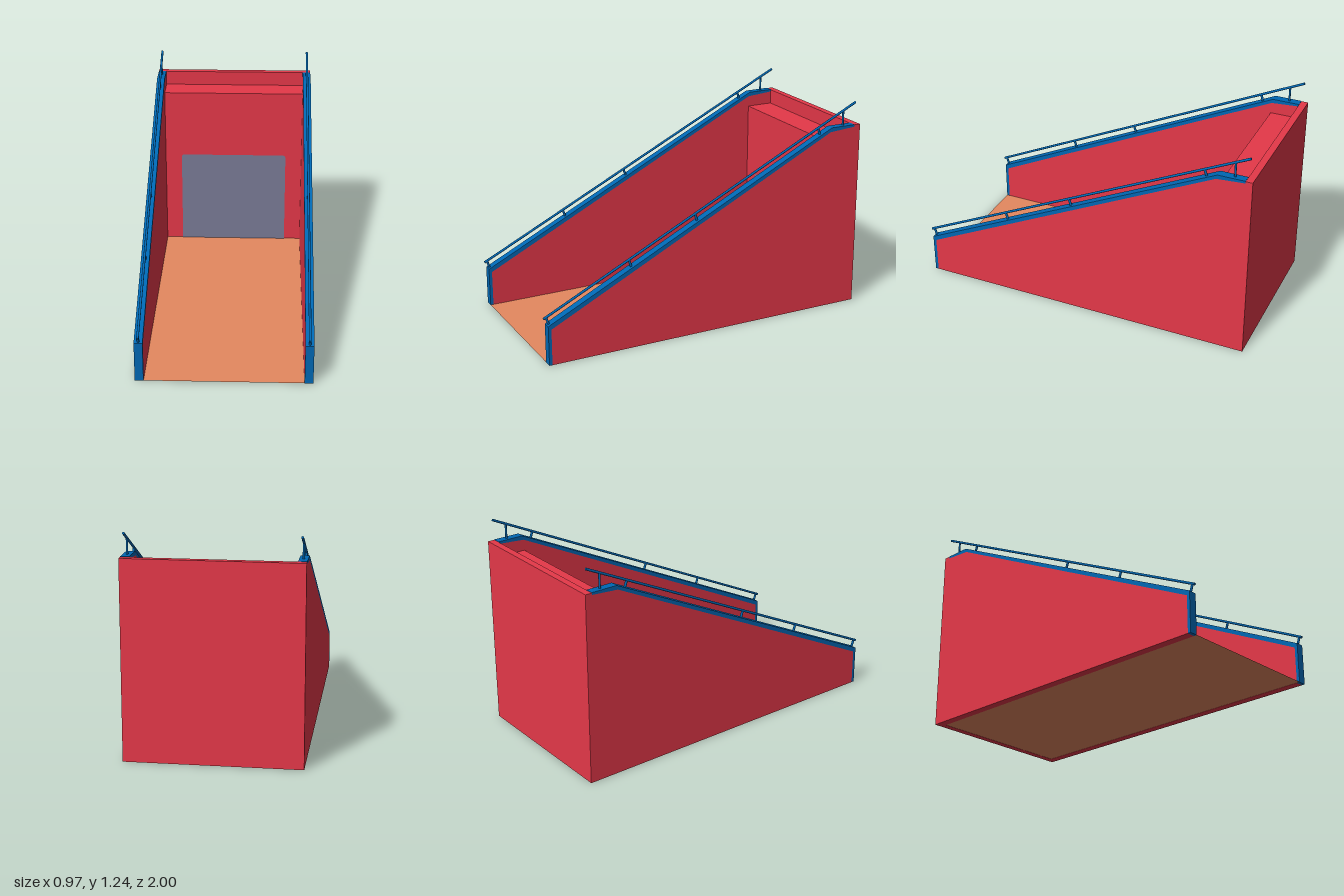
import * as THREE from 'three';

const mat = (name, color, side = THREE.FrontSide) => {
  const m = new THREE.MeshStandardMaterial({ color, side });
  m.name = name;
  return m;
};

export function createModel() {
  const model = new THREE.Group();
  model.name = 'ramp';
  const red = mat('red wall', 0xe53849);
  const blue = mat('blue trim', 0x0067b3);
  const tan = mat('tan floor', 0xe58960, THREE.DoubleSide);
  const grey = mat('grey panel', 0x7a7b97);

  const INNER = 0.4375, OUTER = 0.485, THICK = OUTER - INNER;

  const add = (name, geo, material, parent = model) => {
    const mesh = new THREE.Mesh(geo, material);
    mesh.name = name;
    parent.add(mesh);
    return mesh;
  };
  // Box given by its extents along each axis
  const box = (name, material, x0, x1, y0, y1, z0, z1) => {
    const mesh = add(name, new THREE.BoxGeometry(x1 - x0, y1 - y0, z1 - z0), material);
    mesh.position.set((x0 + x1) / 2, (y0 + y1) / 2, (z0 + z1) / 2);
  };
  // Side profile of [z, y] points, extruded along x and centred on x = 0
  const profile = (points) => {
    const shape = new THREE.Shape(points.map(([z, y]) => new THREE.Vector2(-z, y)));
    return new THREE.ExtrudeGeometry(shape, { depth: THICK, bevelEnabled: false })
      .translate(0, 0, -THICK / 2).rotateY(Math.PI / 2);
  };
  // Round bar between two [z, y] points
  const bar = (name, a, b, radius, parent) => {
    const from = new THREE.Vector3(0, a[1], a[0]);
    const to = new THREE.Vector3(0, b[1], b[0]);
    const dir = to.clone().sub(from);
    const mesh = add(name, new THREE.CylinderGeometry(radius, radius, dir.length(), 12), blue, parent);
    mesh.position.copy(from).add(to).multiplyScalar(0.5);
    mesh.quaternion.setFromUnitVectors(new THREE.Vector3(0, 1, 0), dir.normalize());
  };

  // Floor sheet, rear wall with a ledge, and the panel on its front
  add('floor', new THREE.PlaneGeometry(2 * INNER, 1.94).rotateX(-Math.PI / 2), tan)
    .position.set(0, 0.001, 0.01);
  box('rearWall', red, -OUTER, OUTER, 0, 1.105, -1, -0.96);
  box('rearLedge', red, -INNER, INNER, 0.003, 1.018, -0.96, -0.796);
  const w = 0.335, top = 0.597, r = 0.02;
  const panel = new THREE.Shape();
  panel.moveTo(-w, 0.002).lineTo(w, 0.002).lineTo(w, top - r);
  panel.quadraticCurveTo(w, top, w - r, top).lineTo(-w + r, top);
  panel.quadraticCurveTo(-w, top, -w, top - r);
  add('doorPanel', new THREE.ShapeGeometry(panel), grey).position.z = -0.794;

  // Sloping side walls with trim and handrails
  const wallGeo = profile([[0.962, 0], [0.962, 0.211], [-0.798, 1.082], [-0.96, 1.094], [-0.96, 0]]);
  const trimGeo = profile([[0.98, 0], [0.98, 0.232], [-0.805, 1.107], [-0.96, 1.107],
    [-0.96, 1.094], [-0.798, 1.082], [0.962, 0.211], [0.962, 0]]);
  const railY = (z) => 0.757 - 0.4875 * z;
  for (const [side, sign] of [['left', 1], ['right', -1]]) {
    const group = new THREE.Group();
    group.name = side + 'Side';
    group.position.x = sign * (INNER + OUTER) / 2;
    model.add(group);
    add('sideWall', wallGeo, red, group);
    add('wallTrim', trimGeo, blue, group);
    bar('handrail', [0.997, railY(0.997)], [-0.977, railY(-0.977)], 0.007, group);
    for (const z of [0.982, 0.485, 0.075, -0.725]) {
      bar('railPost', [z, railY(z)], [z - 0.014, railY(z) - 0.042], 0.007, group);
    }
    bar('topPost', [-0.895, railY(-0.895)], [-0.895, 1.1], 0.006, group);
  }
  return model;
}
